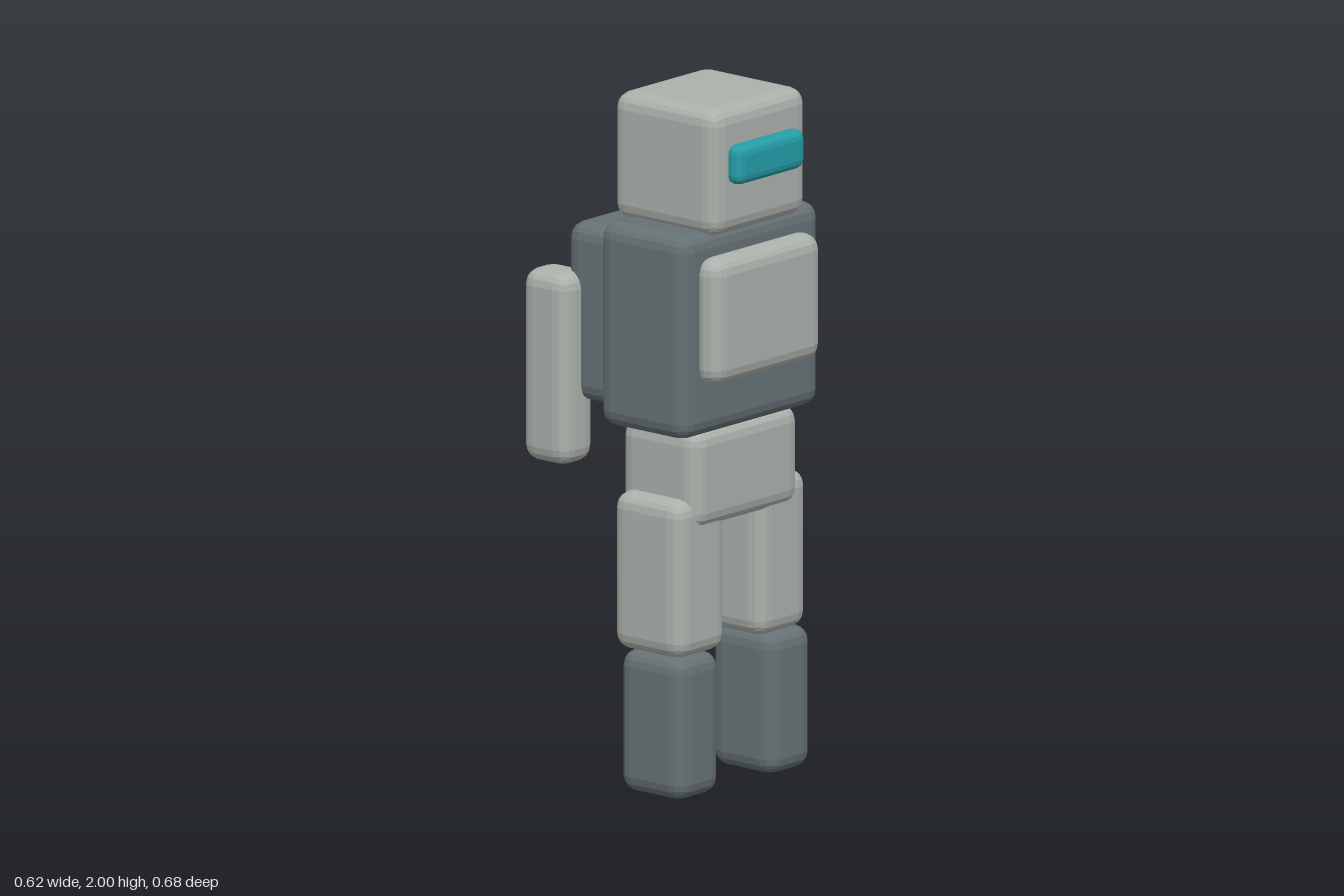
import * as THREE from 'three';
import { RoundedBoxGeometry } from 'three/addons/geometries/RoundedBoxGeometry.js';

export function createModel() {
  const model = new THREE.Group();
  model.name = 'robot';

  const material = (name, color) => {
    const m = new THREE.MeshStandardMaterial({ color });
    m.name = name;
    return m;
  };
  const lightGrey = material('lightGrey', 0xacb1ac);
  const darkGrey = material('darkGrey', 0x667175);
  const teal = material('teal', 0x259da8);

  // Box with faceted round edges, given by its [min, max] on each axis
  function block(name, mat, [x0, x1], [y0, y1], [z0, z1], radius = 0.047) {
    const geometry = new RoundedBoxGeometry(x1 - x0, y1 - y0, z1 - z0, 2, radius);
    geometry.computeVertexNormals(); // unindexed, so every facet is flat
    const mesh = new THREE.Mesh(geometry, mat);
    mesh.name = name;
    mesh.position.set((x0 + x1) / 2, (y0 + y1) / 2, (z0 + z1) / 2);
    model.add(mesh);
  }

  // The same block on the left (+x) and right (-x)
  function pair(name, mat, [x0, x1], y, z) {
    block('left' + name, mat, [x0, x1], y, z);
    block('right' + name, mat, [-x1, -x0], y, z);
  }

  // Head and visor
  block('head', lightGrey, [-0.204, 0.204], [1.63, 2], [-0.09, 0.297]);
  block('visor', teal, [-0.146, 0.146], [1.78, 1.895], [0.28, 0.34], 0.028);

  // Body
  block('torso', darkGrey, [-0.298, 0.298], [1.052, 1.645], [-0.06, 0.264]);
  block('chestPlate', lightGrey, [-0.232, 0.232], [1.208, 1.575], [0.228, 0.33]);
  block('pelvis', lightGrey, [-0.226, 0.226], [0.777, 1.065], [-0.04, 0.249]);

  // Backpack with side thrusters
  block('backpack', darkGrey, [-0.238, 0.238], [1.09, 1.605], [-0.233, -0.04]);
  pair('Thruster', lightGrey, [0.169, 0.308], [0.907, 1.465], [-0.34, -0.17]);

  // Legs
  pair('Thigh', lightGrey, [0.068, 0.28], [0.407, 0.865], [-0.025, 0.233]);
  pair('Shin', darkGrey, [0.104, 0.288], [0, 0.413], [0.007, 0.243]);

  return model;
}
